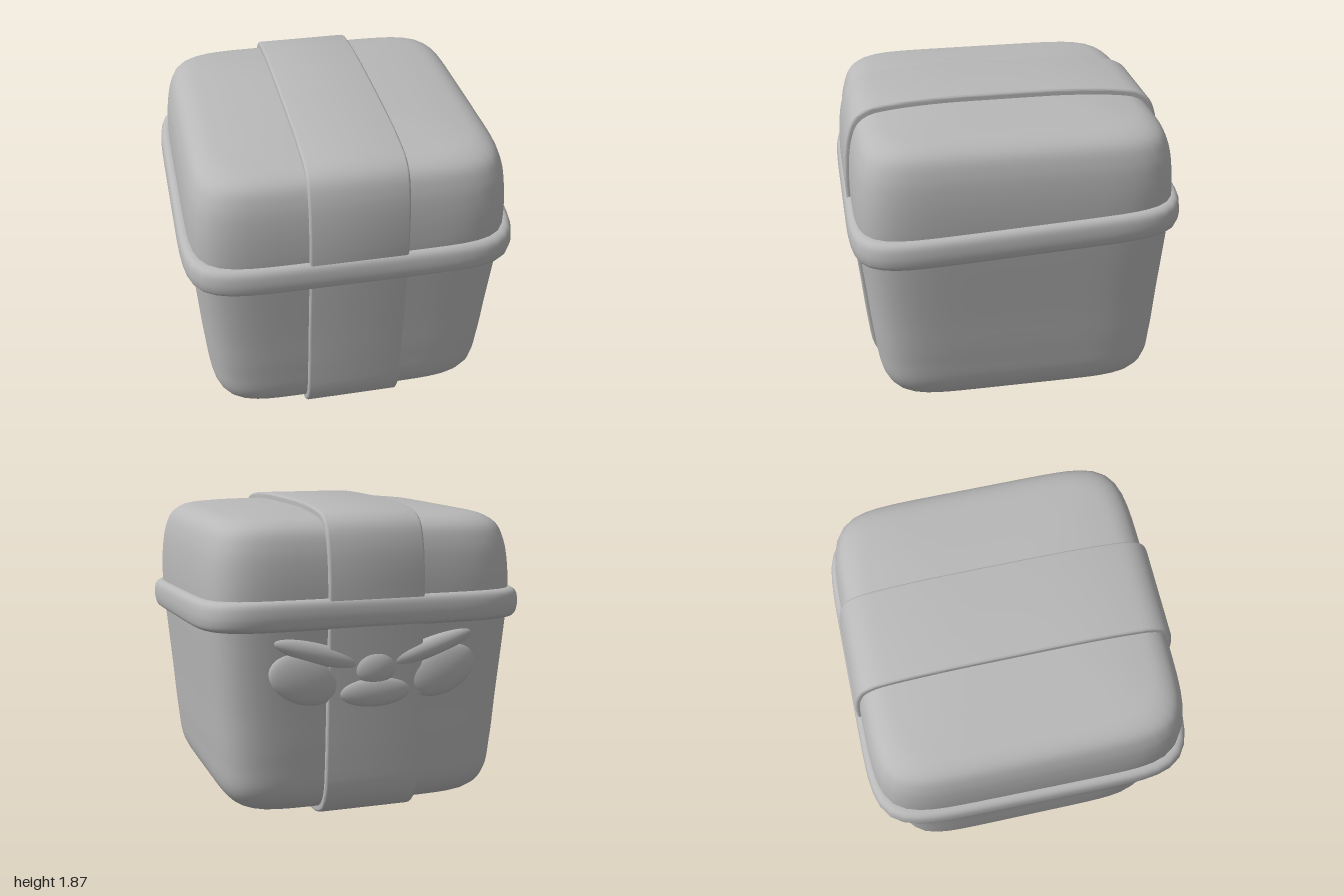
import * as THREE from 'three';
import { toCreasedNormals } from 'three/addons/utils/BufferGeometryUtils.js';

const gray = new THREE.MeshStandardMaterial({ color: 0xb8b8b8, side: THREE.DoubleSide });
gray.name = 'matte gray';

// half width and height up the walls of the two halves
const bodyProfile = [[0, 0.04], [0.4, 0.045], [0.68, 0.06], [0.78, 0.105], [0.845, 0.2],
  [0.875, 0.4], [0.9, 0.7], [0.935, 1.1], [0.942, 1.2]];
const lidProfile = [[0.942, 1.2], [0.948, 1.32], [0.942, 1.5], [0.92, 1.64], [0.88, 1.735],
  [0.81, 1.785], [0.68, 1.81], [0.4, 1.83], [0, 1.835]];
const rimProfile = [[0.9, 1.15], [0.95, 1.135], [0.985, 1.15], [0.998, 1.19], [1, 1.24],
  [0.99, 1.29], [0.965, 1.312], [0.9, 1.31]];

const smooth = (points, n) => new THREE.CatmullRomCurve3(
  points.map(([r, y]) => new THREE.Vector3(r, y, 0)), false, 'centripetal').getPoints(n);
const shiftZ = y => -0.02 * Math.max(0, 1 - y / 1.1);

// stacks rounded-square rings along a profile; tilt raises the back
function loft(profile, rows, tilt = 0) {
  const sides = 96, power = 7, pos = [], index = [];
  const pts = smooth(profile, rows);
  pts.forEach(({ x: r, y }, j) => {
    for (let i = 0; i < sides; i++) {
      const a = i / sides * Math.PI * 2, c = Math.cos(a), s = Math.sin(a);
      const k = r / Math.pow(Math.abs(c) ** power + Math.abs(s) ** power, 1 / power);
      const z = s * k * (tilt ? 0.99 : 1);
      pos.push(c * k, y - tilt * z, z + shiftZ(y) * (tilt ? 0 : 1));
      if (j === pts.length - 1) continue;
      const p = j * sides + i, q = j * sides + (i + 1) % sides;
      index.push(p, p + sides, q, q, p + sides, q + sides);
    }
  });
  const g = new THREE.BufferGeometry();
  g.setAttribute('position', new THREE.Float32BufferAttribute(pos, 3));
  g.setIndex(index);
  g.computeVertexNormals();
  return g;
}

// band that wraps front, top, back and bottom
function ribbonGeometry() {
  const half = [...smooth(bodyProfile, 30), ...smooth(lidProfile, 30).slice(1)];
  const outline = side => half.filter(p => p.x > 0.01).map(p => new THREE.Vector2(
    side * (p.x + 0.01) - shiftZ(p.y), 0.935 + (p.y - 0.935) * 1.025));
  const shape = new THREE.Shape([...outline(1), ...outline(-1).reverse()]);
  const g = new THREE.ExtrudeGeometry(shape, {
    depth: 0.55, bevelEnabled: true, bevelSize: 0.015, bevelThickness: 0.015, bevelSegments: 3,
  });
  g.translate(0, 0, -0.275).rotateY(Math.PI / 2);
  return toCreasedNormals(g, 0.6);
}

export function createModel() {
  const model = new THREE.Group();
  const add = (name, geometry, parent = model) => {
    const mesh = new THREE.Mesh(geometry, gray);
    mesh.name = name;
    parent.add(mesh);
    return mesh;
  };

  add('boxBody', loft(bodyProfile, 48));
  add('lid', loft(lidProfile, 48));
  add('lidRim', loft(rimProfile, 24, 0.05));
  add('ribbon', ribbonGeometry());

  // flattened bow on the back wall
  const bow = new THREE.Group();
  bow.name = 'bow';
  model.add(bow);
  const ball = new THREE.SphereGeometry(1, 32, 20);
  const lump = (name, x, y, z, rx, ry, rz, turn = 0) => {
    const m = add(name, ball, bow);
    m.position.set(x, y, z);
    m.scale.set(rx, ry, rz);
    m.rotation.z = turn;
  };
  lump('knot', 0, 0.94, -0.93, 0.13, 0.1, 0.05);
  lump('bowTail', 0, 0.8, -0.93, 0.22, 0.09, 0.045);
  for (const s of [1, -1]) {
    lump('bowLoop', s * 0.42, 0.9, -0.915, 0.22, 0.15, 0.055, s * 0.35);
    lump('bowFold', s * 0.34, 1.04, -0.92, 0.28, 0.065, 0.055, s * 0.3);
  }
  return model;
}
